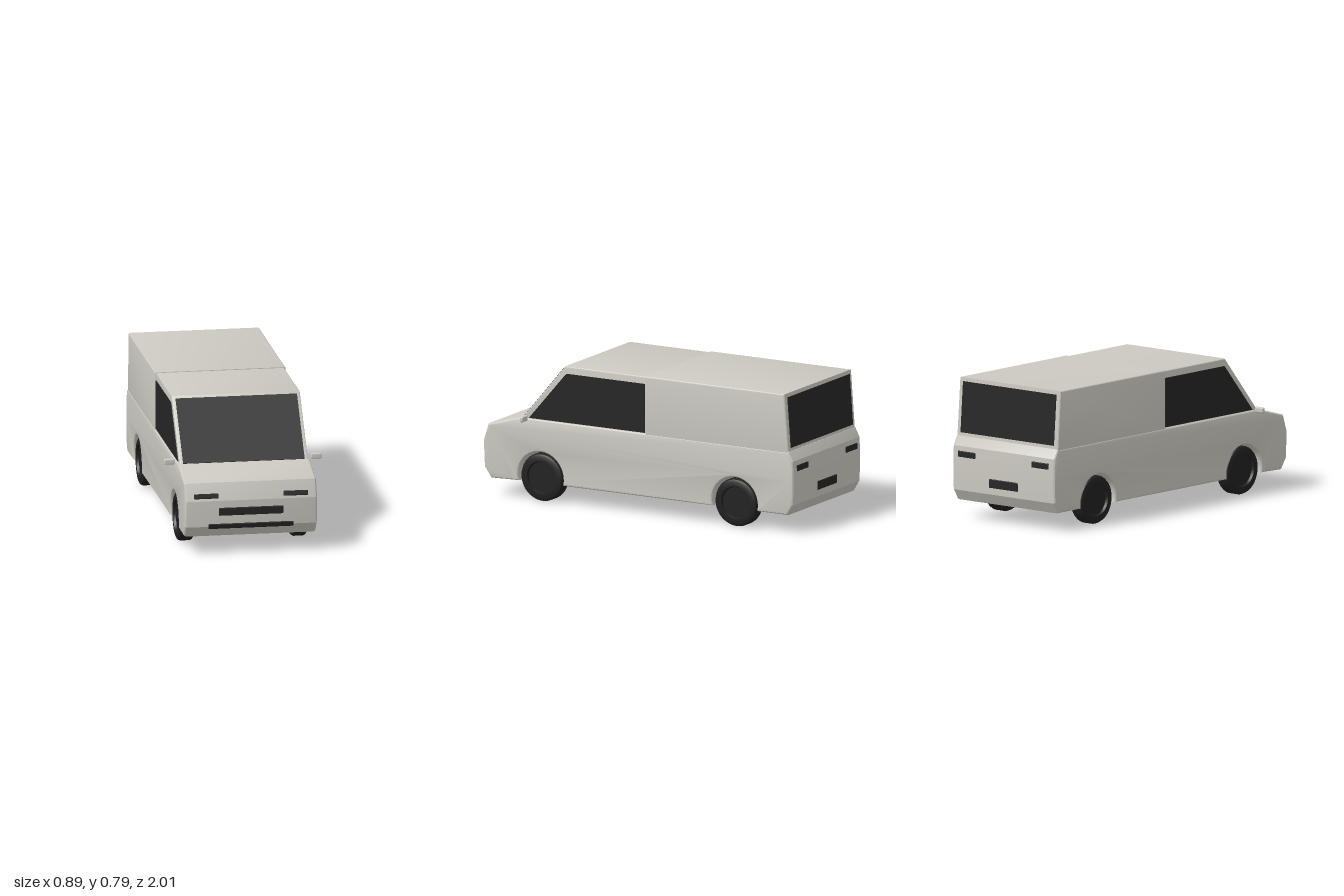
import * as THREE from 'three';
import { toCreasedNormals } from 'three/addons/utils/BufferGeometryUtils.js';
import { RoundedBoxGeometry } from 'three/addons/geometries/RoundedBoxGeometry.js';

const paint = new THREE.MeshStandardMaterial({ color: 0xcbc9c1 });
paint.name = 'bodyPaint';
const glass = new THREE.MeshStandardMaterial({ color: 0x252525 });
glass.name = 'darkGlass';
const rubber = new THREE.MeshStandardMaterial({ color: 0x202020 });
rubber.name = 'rubber';

const WHEEL_Y = 0.137, WHEEL_Z = [0.63, -0.62], ARCH_R = 0.145, FLOOR = 0.105;

export function createModel() {
  const van = new THREE.Group();
  van.name = 'van';

  const add = (name, geometry, material, x = 0, y = 0, z = 0, tilt = 0) => {
    const mesh = new THREE.Mesh(geometry, material);
    mesh.name = name;
    mesh.position.set(x, y, z);
    mesh.rotation.x = tilt;
    van.add(mesh);
    return mesh;
  };

  // Side profile (z, y) extruded across the width, centred on x = 0
  const across = (shape, width, bevel) => {
    const geometry = new THREE.ExtrudeGeometry(shape, {
      depth: width - 2 * bevel, curveSegments: 28,
      bevelEnabled: bevel > 0, bevelSize: bevel, bevelThickness: bevel,
      bevelOffset: -bevel, bevelSegments: 3,
    });
    geometry.translate(0, 0, bevel - width / 2);
    geometry.rotateY(-Math.PI / 2);
    return toCreasedNormals(geometry, 0.3);
  };
  const polygon = (points) => new THREE.Shape(points.map(([z, y]) => new THREE.Vector2(z, y)));

  // Lower body with wheel tunnels cut through the underside
  const lower = new THREE.Shape();
  const a = Math.asin((WHEEL_Y - FLOOR) / ARCH_R);
  lower.moveTo(-0.96, FLOOR);
  for (const z of [...WHEEL_Z].reverse()) {
    lower.lineTo(z - ARCH_R * Math.cos(a), FLOOR);
    lower.absarc(z, WHEEL_Y, ARCH_R, Math.PI + a, -a, true);
  }
  for (const [z, y] of [[0.95, 0.1], [0.993, 0.162], [1, 0.31], [0.968, 0.408],
    [0.76, 0.467], [-0.968, 0.467], [-0.996, 0.415], [-1, 0.3], [-0.996, 0.165]]) {
    lower.lineTo(z, y);
  }
  lower.closePath();
  add('lowerBody', across(lower, 0.746, 0.016), paint);

  // Upper body: slightly narrower cab and the cargo box behind it
  const cab = polygon([[-0.1, 0.44], [0.774, 0.44], [0.478, 0.788], [-0.1, 0.788]]);
  add('cab', across(cab, 0.722, 0.008), paint);
  const cargo = polygon([[-0.04, 0.44], [-0.04, 0.792], [-0.94, 0.792], [-0.967, 0.44]]);
  add('cargoBox', across(cargo, 0.738, 0.01), paint);

  // Plate lying on a sloped face between two (z, y) points
  const slopedPlate = (name, width, [z0, y0], [z1, y1]) => {
    const geometry = new THREE.BoxGeometry(width, Math.hypot(z1 - z0, y1 - y0), 0.006);
    add(name, geometry, glass, 0, (y0 + y1) / 2, (z0 + z1) / 2, Math.atan2(z1 - z0, y1 - y0));
  };
  slopedPlate('windshield', 0.684, [0.753, 0.467], [0.491, 0.775]);
  slopedPlate('rearWindow', 0.68, [-0.964, 0.485], [-0.943, 0.77]);

  // Cab side windows
  const sideWindow = polygon([[-0.038, 0.469], [0.708, 0.469], [0.468, 0.747], [-0.038, 0.747]]);
  for (const s of [1, -1]) {
    add(s > 0 ? 'leftWindow' : 'rightWindow', across(sideWindow, 0.006, 0), glass, s * 0.362);
  }

  // Lights, grille, bumper slot and rear plate
  const trim = (name, width, height, x, y, z, tilt = 0) =>
    add(name, new RoundedBoxGeometry(width, height, 0.009, 2, 0.004), glass, x, y, z, tilt);
  for (const s of [1, -1]) {
    trim('headlight', 0.137, 0.028, s * 0.252, 0.337, 0.992, -0.316);
    trim('tailLight', 0.125, 0.034, s * 0.268, 0.37, -0.998);
  }
  trim('grille', 0.362, 0.045, 0, 0.247, 0.998, 0.047);
  trim('bumperSlot', 0.478, 0.03, 0, 0.163, 0.992, 0.3);
  trim('rearPlate', 0.21, 0.05, 0, 0.228, -0.998);

  // Wing mirrors
  for (const s of [1, -1]) {
    add('mirror', new RoundedBoxGeometry(0.06, 0.032, 0.022, 3, 0.008), paint, s * 0.414, 0.473, 0.712);
  }

  // Wheels: rounded tyre with a recessed hub on the outer side
  const tyreProfile = [[0, -0.044], [0.118, -0.044], [0.13, -0.038], [0.136, -0.026],
    [0.136, 0.026], [0.13, 0.038], [0.118, 0.044], [0.092, 0.044], [0.086, 0.03], [0, 0.03]]
    .map(([r, h]) => new THREE.Vector2(r, h));
  const tyre = toCreasedNormals(new THREE.LatheGeometry(tyreProfile, 40), 0.6);
  for (const z of WHEEL_Z) {
    for (const s of [1, -1]) {
      const wheel = add('wheel', tyre, rubber, s * 0.319, WHEEL_Y, z);
      wheel.rotation.z = -s * Math.PI / 2;
    }
  }
  return van;
}
